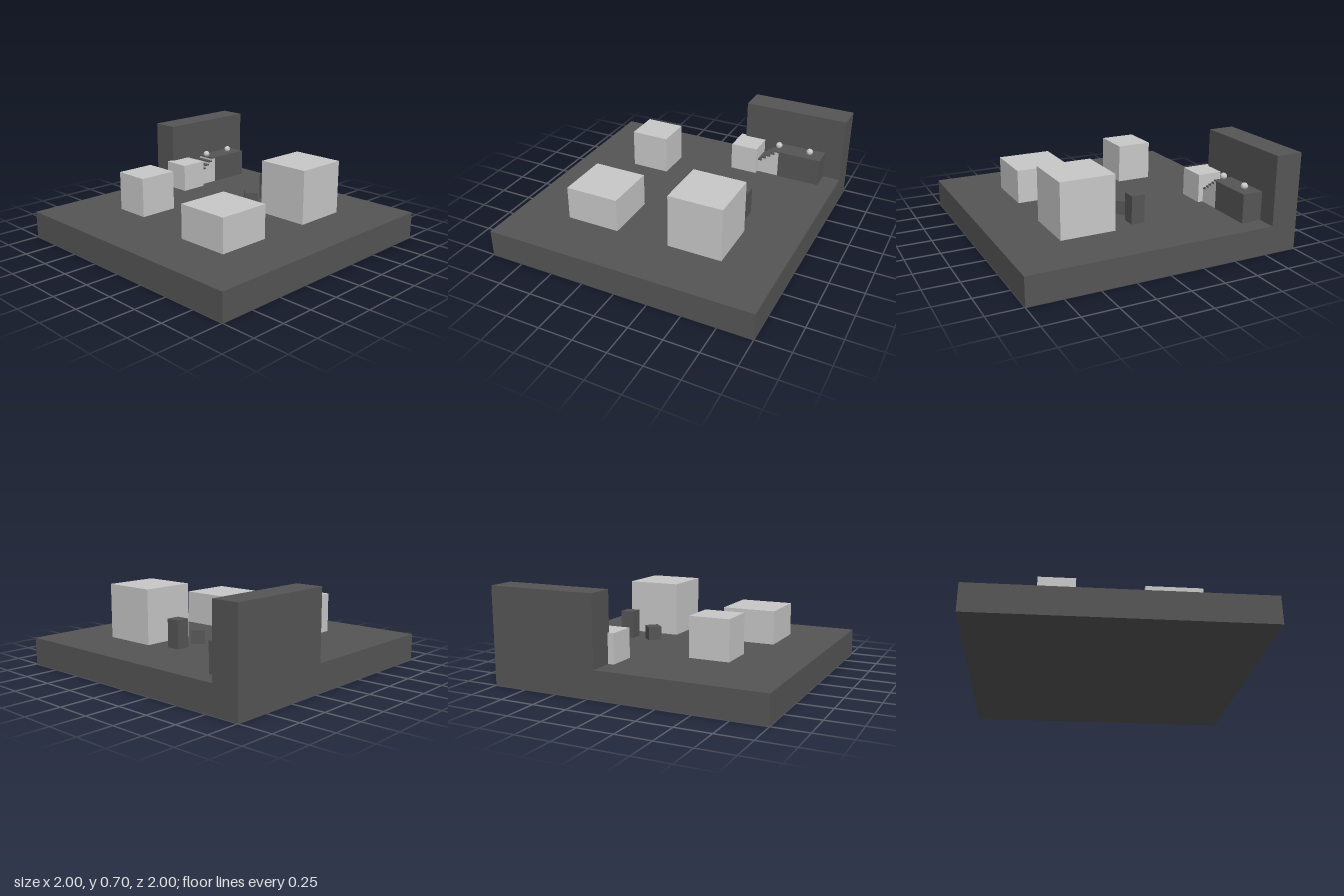
import * as THREE from 'three';

export function createModel() {
  const model = new THREE.Group();
  const dark = new THREE.MeshStandardMaterial({ color: 0x555555 });
  dark.name = 'dark grey';
  const light = new THREE.MeshStandardMaterial({ color: 0xc8c8c8, flatShading: true });
  light.name = 'light grey';

  // Box given by its minimum and maximum corners
  function block(name, material, [x0, y0, z0], [x1, y1, z1]) {
    const mesh = new THREE.Mesh(new THREE.BoxGeometry(x1 - x0, y1 - y0, z1 - z0), material);
    mesh.position.set((x0 + x1) / 2, (y0 + y1) / 2, (z0 + z1) / 2);
    mesh.name = name;
    model.add(mesh);
    return mesh;
  }

  // Ground slab and rear wall
  block('base', dark, [-1, 0, -1], [1, 0.2, 1]);
  block('rearWall', dark, [0.2, 0.2, -1], [1, 0.7, -0.8]);

  // Light blocks, one of them floating
  block('lowBlock', light, [-0.6, 0.2, 0.2], [-0.2, 0.45, 0.6]);
  block('tallBlock', light, [0.2, 0.2, 0.2], [0.6, 0.6, 0.6]);
  block('floatingBlock', light, [-0.55, 0.227, -0.535], [-0.26, 0.515, -0.27]);
  block('wallBlock', light, [0.155, 0.2, -0.82], [0.365, 0.412, -0.61]);

  // Small posts, the short one turned to a diamond
  block('tallPost', dark, [0.45, 0.2, -0.05], [0.55, 0.405, 0.05]);
  block('shortPost', dark, [0.25, 0.2, -0.05], [0.35, 0.3, 0.05]).rotation.y = Math.PI / 4;

  // Raised platform with steps climbing towards it
  block('platform', dark, [0.535, 0.2, -0.8], [0.865, 0.41, -0.645]);
  const steps = 5, run = 0.034;
  for (let i = 0; i < steps; i++) {
    const x = 0.365 + i * run, y = 0.31 + i * 0.025;
    block('stepBody', light, [x, 0.2, -0.8], [x + run, y - 0.009, -0.65]);
    block('stepTread', dark, [x, y - 0.009, -0.8], [x + run, y, -0.65]);
  }

  // Small faceted balls
  for (const x of [0.51, 0.76]) {
    const ball = new THREE.Mesh(new THREE.IcosahedronGeometry(0.026, 1), light);
    ball.position.set(x, 0.43, -0.725);
    ball.name = 'ball';
    model.add(ball);
  }
  return model;
}
